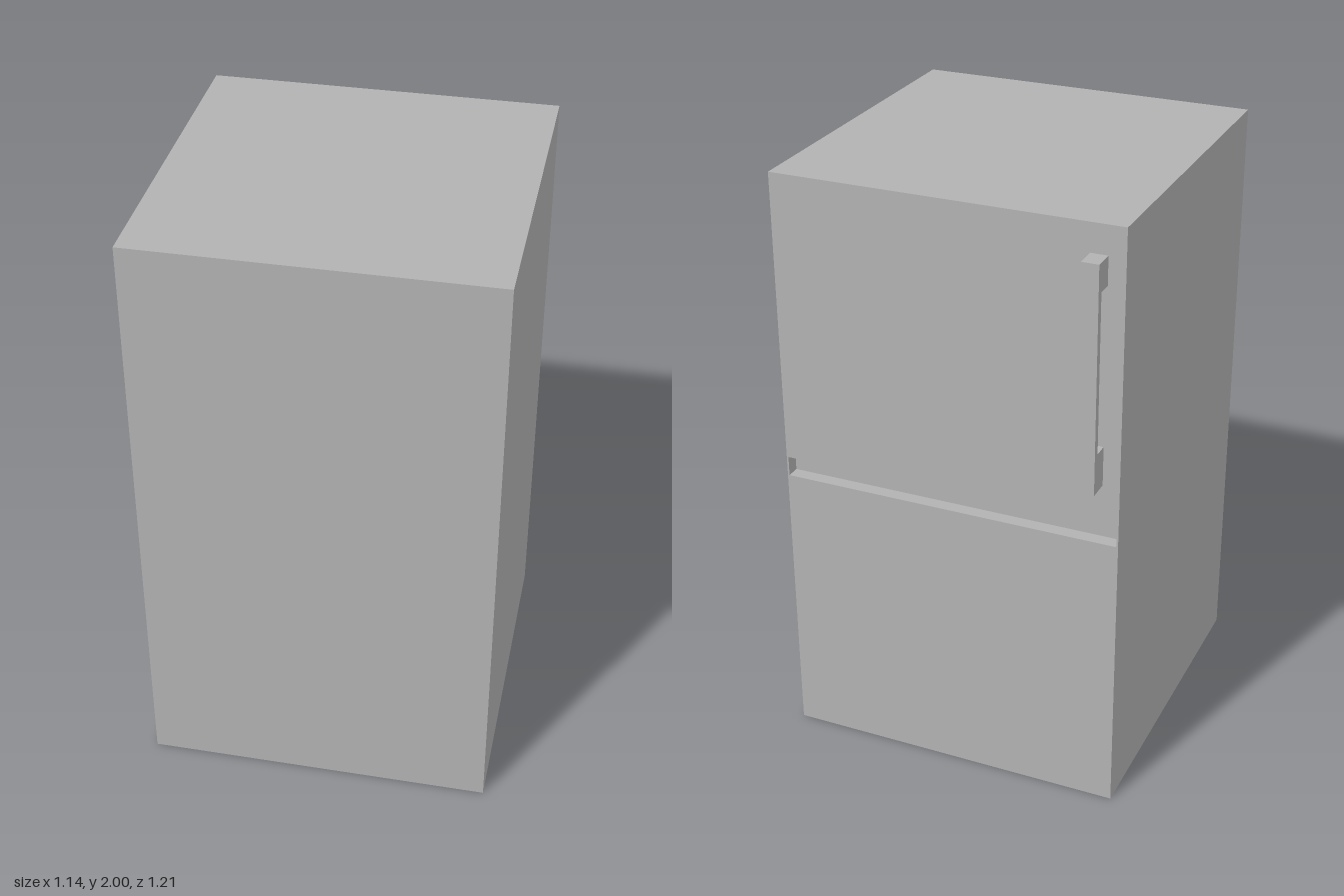
import * as THREE from 'three';

const HALF_W = 0.572, HEIGHT = 2, FRONT = 0.607, BACK = -0.535, GROOVE_DEPTH = 0.045;

// Closed polygon, used for outlines and holes
function trace(path, points) {
  path.setFromPoints(points.map(([x, y]) => new THREE.Vector2(x, y)));
  path.closePath();
  return path;
}

const rect = (x0, y0, x1, y1) => [[x0, y0], [x1, y0], [x1, y1], [x0, y1]];

export function createModel() {
  const group = new THREE.Group();
  group.name = 'refrigerator';
  const grey = new THREE.MeshStandardMaterial({ color: 0xb2b2b2 });
  grey.name = 'grey';

  const add = (name, geometry, x, y, z) => {
    const mesh = new THREE.Mesh(geometry, grey);
    mesh.name = name;
    mesh.position.set(x, y, z);
    group.add(mesh);
    return mesh;
  };

  // Cabinet body, up to the floor of the groove
  const inner = BACK + GROOVE_DEPTH;
  add('cabinet', new THREE.BoxGeometry(HALF_W * 2, HEIGHT, FRONT - inner),
    0, HEIGHT / 2, (FRONT + inner) / 2);

  // Door side, with a recessed groove between the two doors, closed at its ends
  const doors = trace(new THREE.Shape(), rect(-HALF_W, 0, HALF_W, HEIGHT));
  doors.holes.push(trace(new THREE.Path(), rect(-HALF_W + 0.006, 0.963, HALF_W - 0.006, 1.03)));
  add('doors', new THREE.ExtrudeGeometry(doors, { depth: GROOVE_DEPTH, bevelEnabled: false }),
    0, 0, BACK);

  // Handle: a C-shaped side profile (distance from door, height) swept across its width
  const profile = trace(new THREE.Shape(), [
    [0, 1.168], [0.072, 1.168], [0.072, 1.907], [0, 1.907],
    [0, 1.815], [0.05, 1.815], [0.05, 1.298], [0, 1.298],
  ]);
  const handle = add('handle', new THREE.ExtrudeGeometry(profile, { depth: 0.055, bevelEnabled: false }),
    -0.517, 0, BACK);
  handle.rotation.y = Math.PI / 2;

  return group;
}
